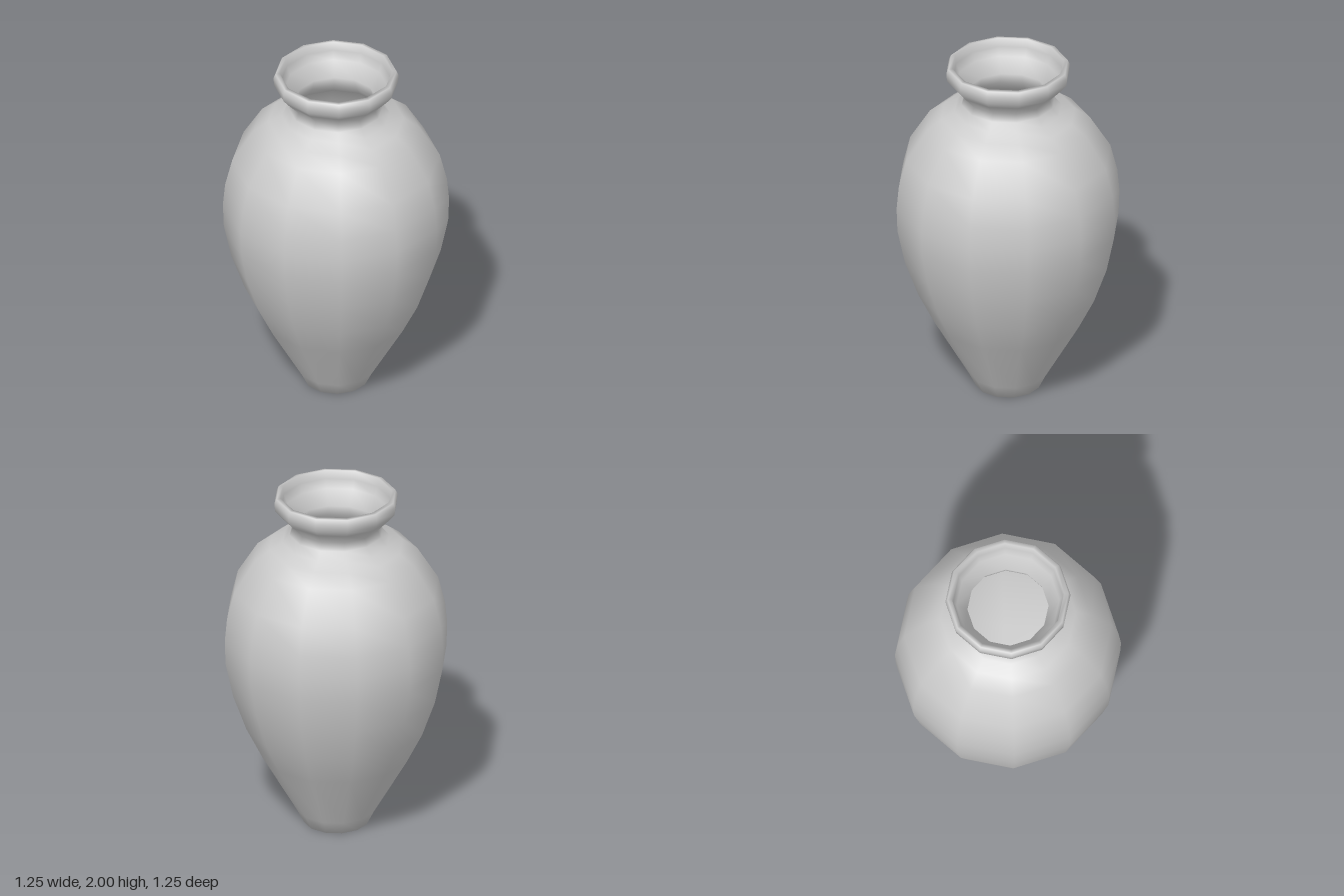
import * as THREE from 'three';

const SIDES = 12;
const TURN = -0.04; // slight twist of the twelve-sided body about y

// Outer wall, from the centre of the base up to the lip: [radius, height]
const outer = [
  [0, 0], [0.18, 0], [0.22, 0.08], [0.415, 0.42], [0.505, 0.6], [0.58, 0.81],
  [0.622, 1.01], [0.627, 1.15], [0.615, 1.28], [0.575, 1.44], [0.46, 1.625],
  [0.375, 1.69], [0.3, 1.725], [0.262, 1.77], [0.245, 1.815], [0.31, 1.885],
  [0.343, 1.925], [0.347, 1.97], [0.335, 1.997],
];

// Inner wall, from the lip down to the centre of the floor
const inner = [
  [0.312, 2], [0.305, 1.95], [0.285, 1.9], [0.225, 1.82], [0.24, 1.76],
  [0.28, 1.7], [0.36, 1.66], [0.44, 1.6], [0.55, 1.43], [0.59, 1.28],
  [0.602, 1.15], [0.597, 1.01], [0.555, 0.82], [0.48, 0.61], [0.39, 0.43],
  [0.2, 0.1], [0.16, 0.04], [0, 0.04],
];

export function createModel() {
  const group = new THREE.Group();
  group.name = 'vase';

  // One continuous shell: base, belly, neck, rolled lip and hollow inside
  const profile = [...outer, ...inner].map(([r, y]) => new THREE.Vector2(r, y));
  const shell = new THREE.Mesh(
    new THREE.LatheGeometry(profile, SIDES, TURN),
    new THREE.MeshStandardMaterial({ color: 0xcccccc })
  );
  shell.name = 'vaseShell';
  group.add(shell);

  return group;
}
